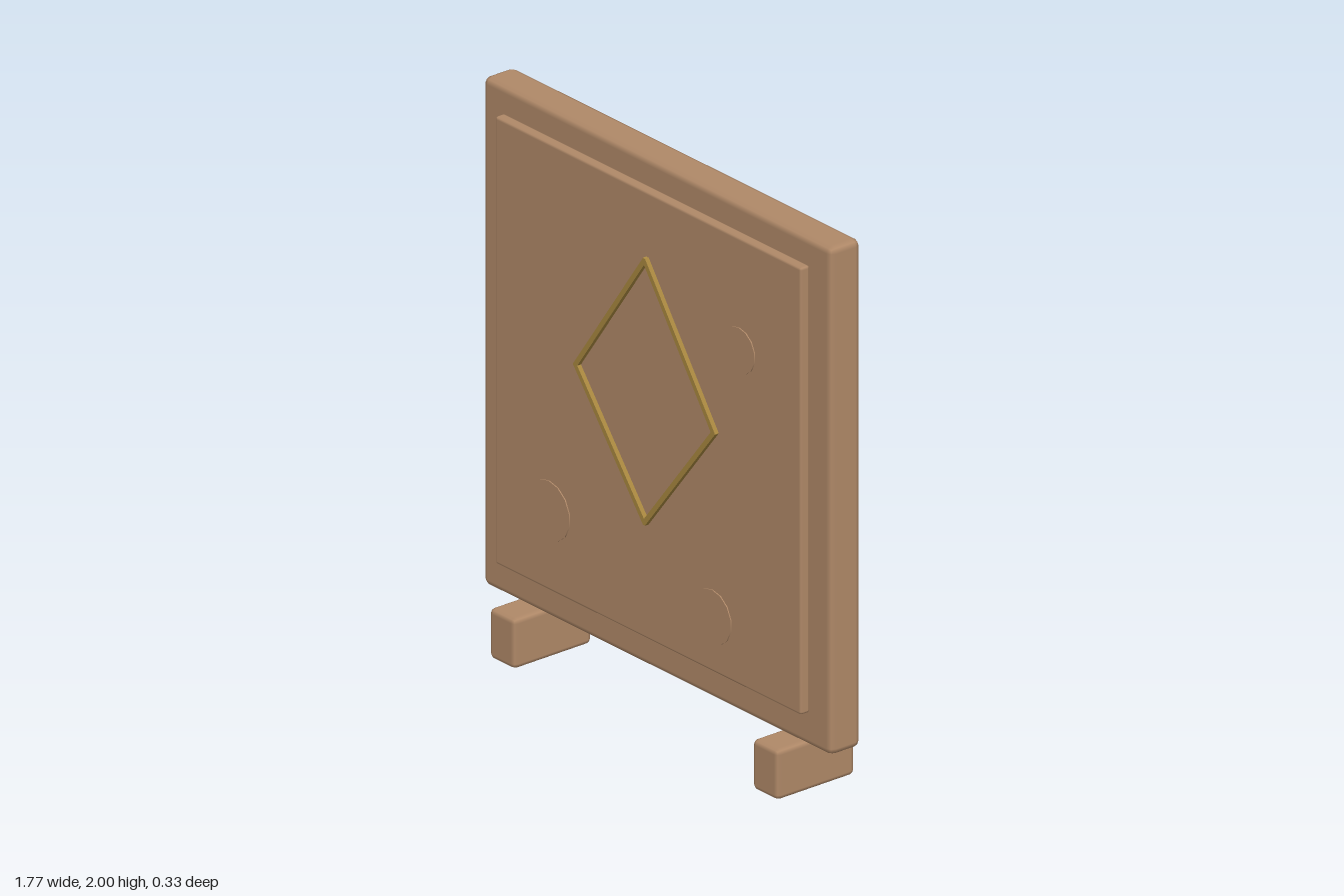
import * as THREE from 'three';
import { RoundedBoxGeometry } from 'three/addons/geometries/RoundedBoxGeometry.js';

export function createModel() {
  const group = new THREE.Group();
  const wood = new THREE.MeshStandardMaterial({ name: 'wood brown', color: 0xb08968 });
  const brass = new THREE.MeshStandardMaterial({ name: 'dull brass', color: 0xa8873f });

  function add(name, geometry, material, x, y, z) {
    const mesh = new THREE.Mesh(geometry, material);
    mesh.name = name;
    mesh.position.set(x, y, z);
    group.add(mesh);
    return mesh;
  }

  // A softly bevelled block
  const block = (name, w, h, d, bevel, x, y, z) =>
    add(name, new RoundedBoxGeometry(w, h, d, 1, bevel), wood, x, y, z);

  // Main board and its raised front panel
  block('board', 1.77, 1.818, 0.13, 0.024, 0, 1.091, 0);
  block('frontPanel', 1.555, 1.6, 0.04, 0.01, 0, 1.105, 0.083);

  // Feet
  for (const [side, name] of [[1, 'leftFoot'], [-1, 'rightFoot']]) {
    block(name, 0.13, 0.18, 0.33, 0.018, side * 0.668, 0.09, 0);
  }

  // Diamond frame made of four thin bars
  const corners = [[0, 1.665], [0.35, 1.17], [0, 0.727], [-0.35, 1.17]];
  corners.forEach(([x, y], i) => {
    const [nx, ny] = corners[(i + 1) % 4];
    const length = Math.hypot(nx - x, ny - y) + 0.01;
    const bar = add('diamondBar' + (i + 1), new THREE.BoxGeometry(length, 0.018, 0.018),
      brass, (x + nx) / 2, (y + ny) / 2, 0.11);
    bar.rotation.z = Math.atan2(ny - y, nx - x);
  });

  // Shallow round patches on the panel
  const patches = [[0.465, 1.503, 0.082], [-0.5, 0.592, 0.107], [0.33, 0.503, 0.097]];
  patches.forEach(([x, y, r], i) => {
    const disc = add('roundPatch' + (i + 1), new THREE.CylinderGeometry(r, r, 0.006, 14),
      wood, x, y, 0.104);
    disc.rotation.x = Math.PI / 2;
  });

  return group;
}
